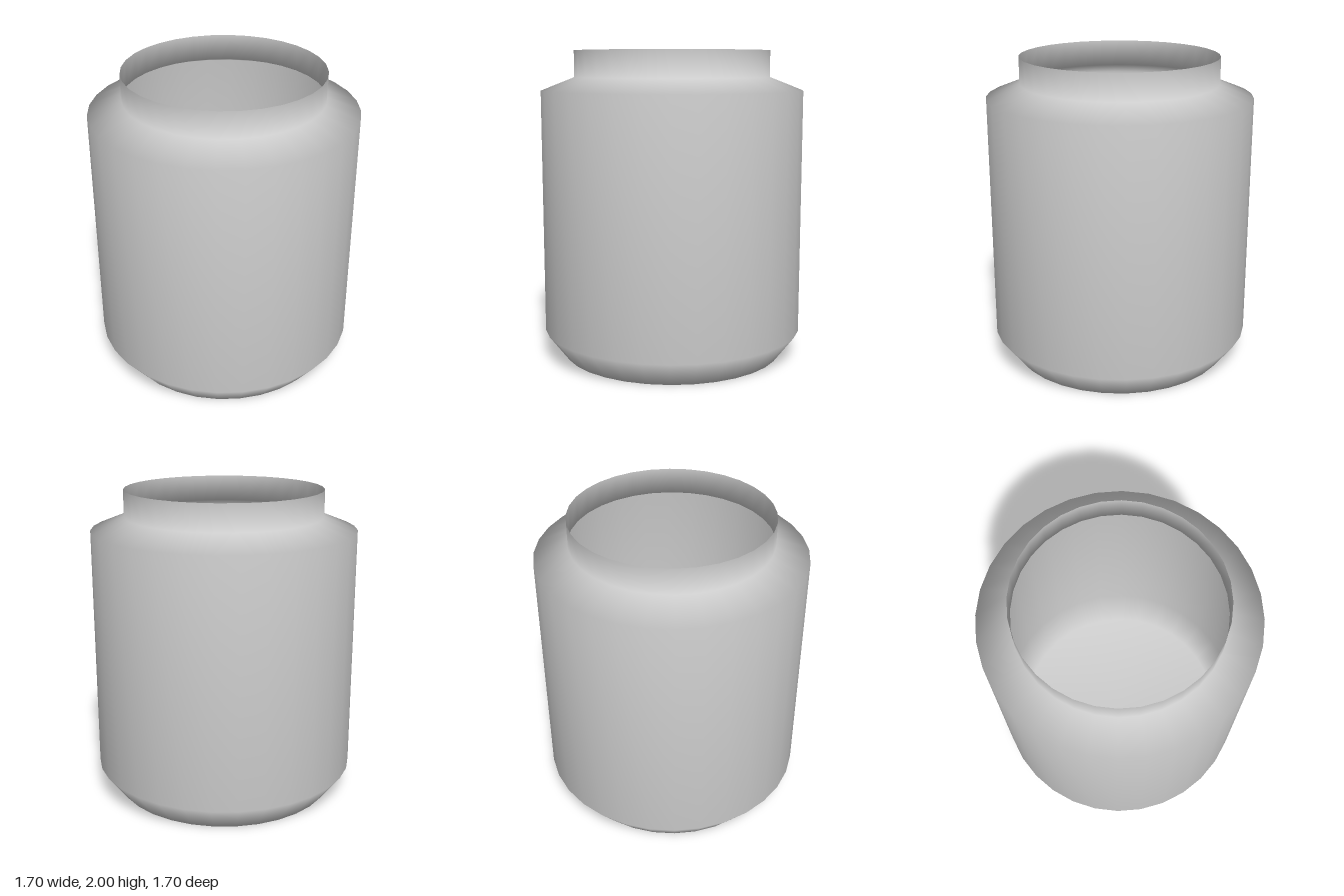
import * as THREE from 'three';
import { mergeVertices } from 'three/addons/utils/BufferGeometryUtils.js';

export function createModel() {
  const model = new THREE.Group();
  model.name = 'jar';

  const paleGrey = new THREE.MeshStandardMaterial({ color: 0xcccccc, side: THREE.DoubleSide });
  paleGrey.name = 'paleGrey';

  // Thin open shell: closed base, bevelled foot, straight wall, sloped shoulder, neck
  const profile = [
    [0, 0],
    [0.72, 0],
    [0.85, 0.17],
    [0.85, 1.745],
    [0.636, 1.83],
    [0.636, 2],
  ].map(([r, y]) => new THREE.Vector2(r, y));

  // Weld the shell so shading runs smoothly across every edge
  let shell = new THREE.LatheGeometry(profile, 32);
  shell.deleteAttribute('normal');
  shell.deleteAttribute('uv');
  shell = mergeVertices(shell, 1e-4);
  shell.computeVertexNormals();

  const body = new THREE.Mesh(shell, paleGrey);
  body.name = 'jarShell';
  model.add(body);
  return model;
}
